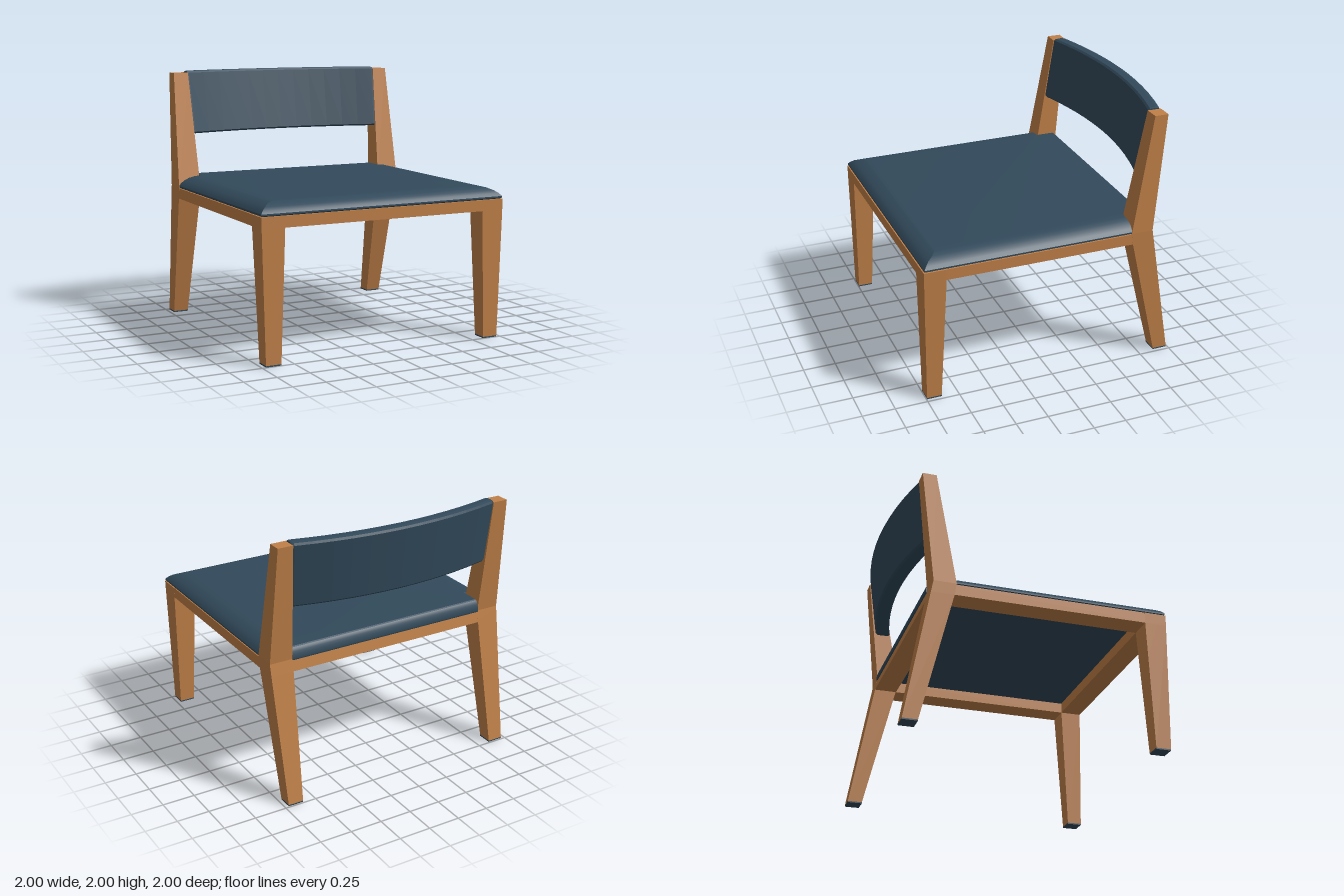
import * as THREE from 'three';
import { toCreasedNormals } from 'three/addons/utils/BufferGeometryUtils.js';

const material = (name, color) => Object.assign(new THREE.MeshStandardMaterial({ color }), { name });

// Skin a list of matching closed rings and cap both ends.
// flatten gives the 2D view of a ring in which it runs counterclockwise.
function loft(rings, flatten, crease) {
  const n = rings[0].length, index = [];
  for (let i = 0; i < rings.length - 1; i++) {
    for (let j = 0; j < n; j++) {
      const a = i * n + j, b = i * n + (j + 1) % n;
      index.push(a, b, b + n, a, b + n, a + n);
    }
  }
  const cap = (r, flip) => {
    for (const [a, b, c] of THREE.ShapeUtils.triangulateShape(rings[r].map(flatten), [])) {
      const o = r * n;
      index.push(o + a, o + (flip ? c : b), o + (flip ? b : c));
    }
  };
  cap(0, true);
  cap(rings.length - 1, false);
  const geometry = new THREE.BufferGeometry().setFromPoints(rings.flat());
  geometry.setIndex(index);
  return toCreasedNormals(geometry, crease);
}

const fromAbove = p => new THREE.Vector2(p.x, -p.z);
const fromSide = p => new THREE.Vector2(-p.z, p.y);

// Tapered post through rectangles [y, inner x, outer x, back z, front z]
function post(sections, side) {
  return loft(sections.map(([y, inner, outer, back, front]) => {
    const x0 = Math.min(side * inner, side * outer), x1 = Math.max(side * inner, side * outer);
    return [[x1, front], [x1, back], [x0, back], [x0, front]].map(([x, z]) => new THREE.Vector3(x, y, z));
  }), fromAbove, 0.02);
}

// Seat cushion: notched outline that draws in as it rises [y, side inset, front inset]
function cushionGeometry() {
  const levels = [[1.072, 0.015, 0.012], [1.08, 0.002, 0], [1.092, 0.002, 0], [1.113, 0.02, 0.018],
    [1.134, 0.05, 0.045], [1.152, 0.088, 0.088], [1.162, 0.128, 0.116], [1.168, 0.18, 0.145]];
  return loft(levels.map(([y, d, f]) => {
    const half = 1 - d, front = 0.995 - f, notchZ = -0.637 + d * 0.05;
    const notchX = 0.818 - d * 0.03, back = -0.808 + d * 0.2;
    return [[half, front], [half, notchZ], [notchX, notchZ], [notchX, back],
      [-notchX, back], [-notchX, notchZ], [-half, notchZ], [-half, front]]
      .map(([x, z]) => new THREE.Vector3(x, y, z));
  }), fromAbove, 0.3);
}

// Backrest: leaning, softened section swept along a shallow faceted arc
function backrestGeometry() {
  const section = [[-0.823, 1.512], [-0.835, 1.499], [-0.929, 1.497], [-0.943, 1.51],
    [-1, 1.978], [-0.992, 1.995], [-0.965, 2], [-0.918, 1.998], [-0.904, 1.985]];
  const stations = [[-1, 0.96]];
  for (let i = 0; i <= 12; i++) stations.push([(i / 6 - 1) * 0.985, 1]);
  stations.push([1, 0.96]);
  return loft(stations.map(([t, scale]) => section.map(([z, y]) => {
    const yy = 1.75 + (y - 1.75) * (scale === 1 ? 1 : 0.985);
    const middle = -0.912 - (yy - 1.75) * 0.15;
    const zz = middle + (z - middle) * scale + 0.115 * t * t;
    return new THREE.Vector3(t * (0.832 + (yy - 1.5) * 0.04), yy, zz);
  })), fromSide, 0.03);
}

// Open seat frame, rails as wide as the legs, back face leaning with the rear legs
function frameGeometry() {
  const rectangle = (shape, x, back, front) => shape.moveTo(-x, -front).lineTo(x, -front)
    .lineTo(x, -back).lineTo(-x, -back).closePath();
  const outline = rectangle(new THREE.Shape(), 0.998, -0.799, 1);
  outline.holes.push(rectangle(new THREE.Path(), 0.818, -0.637, 0.832));
  const frame = new THREE.ExtrudeGeometry(outline, { depth: 0.084, bevelEnabled: false });
  frame.rotateX(-Math.PI / 2);
  const position = frame.attributes.position;
  for (let i = 0; i < position.count; i++) {
    if (position.getZ(i) < -0.7 && position.getY(i) < 0.01) position.setZ(i, -0.815);
  }
  frame.computeVertexNormals();
  return frame;
}

export function createModel() {
  const model = new THREE.Group();
  model.name = 'chair';
  const wood = material('warm wood', 0xc08048);
  const fabric = material('slate blue fabric', 0x324a5b);
  const add = (name, geometry, mat) => {
    const mesh = new THREE.Mesh(geometry, mat);
    mesh.name = name;
    model.add(mesh);
    return mesh;
  };

  // Legs, the rear pair rising into back posts, with pads below
  for (const [label, side] of [['left', 1], ['right', -1]]) {
    add(label + 'FrontLeg', post([
      [0.01, 0.85, 0.97, 0.88, 0.995],
      [0.988, 0.818, 0.998, 0.832, 1],
      [1.072, 0.818, 1, 0.832, 1],
    ], side), wood);
    add(label + 'BackLeg', post([
      [0.01, 0.85, 0.97, -0.989, -0.875],
      [0.988, 0.818, 0.998, -0.815, -0.64],
      [1.08, 0.818, 1, -0.798, -0.626],
      [1.985, 0.85, 0.97, -0.892, -0.786],
    ], side), wood);
    for (const [end, z] of [['Front', 0.9375], ['Back', -0.932]]) {
      const pad = add(label + end + 'FootPad', new THREE.BoxGeometry(0.12, 0.01, 0.114), fabric);
      pad.position.set(side * 0.91, 0.005, z);
    }
  }

  // Frame and upholstery
  add('seatFrame', frameGeometry(), wood).position.y = 0.988;
  add('seatCushion', cushionGeometry(), fabric);
  add('backrest', backrestGeometry(), fabric);
  return model;
}
